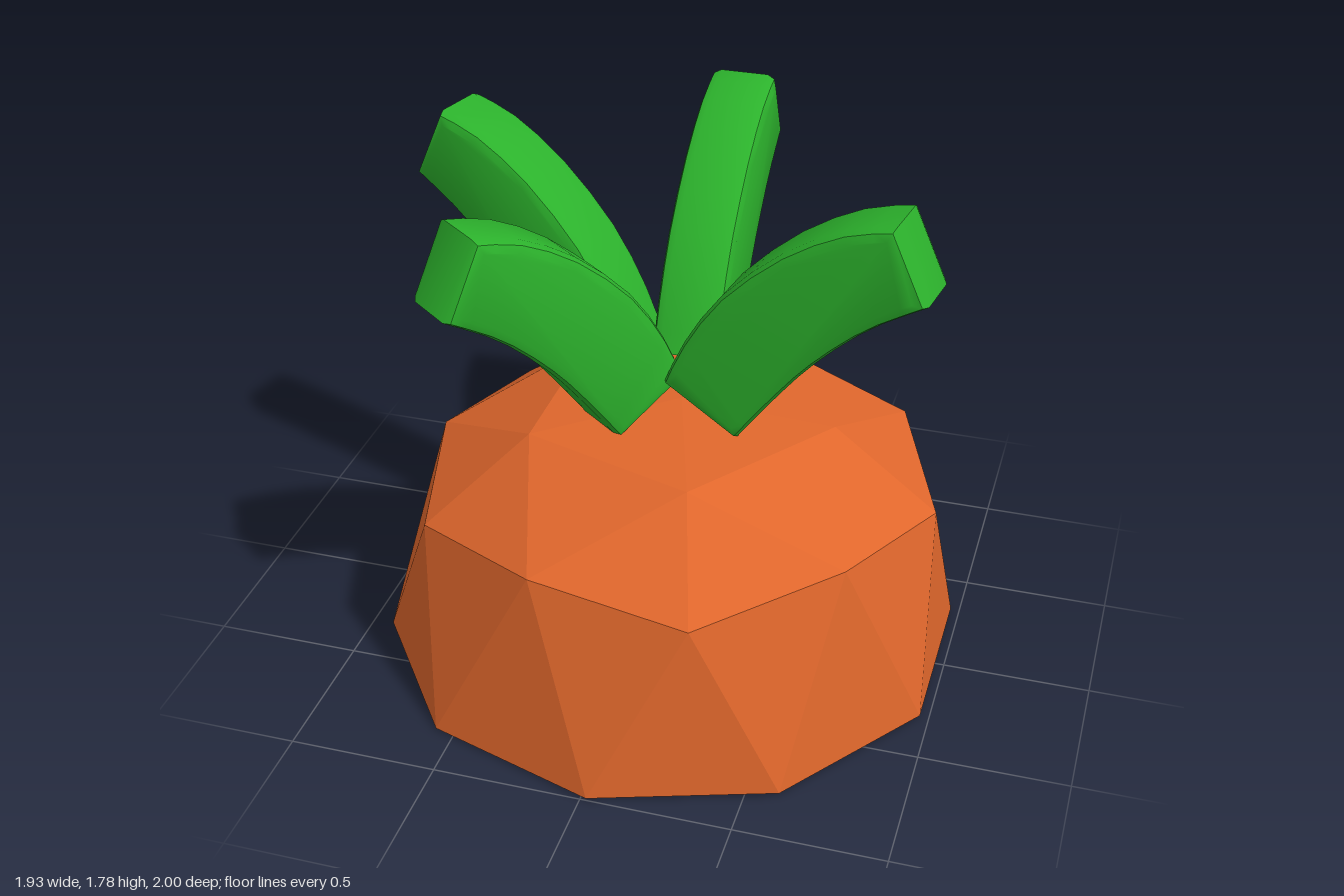
import * as THREE from 'three';
import { toCreasedNormals } from 'three/addons/utils/BufferGeometryUtils.js';

// Ring of points on the root; it leans slightly towards +x
function ring(count, startDeg, radius, height) {
  return Array.from({ length: count }, (_, i) => {
    const a = THREE.MathUtils.degToRad(startDeg + (i * 360) / count);
    const odd = i % 2;
    const r = Array.isArray(radius) ? radius[odd] : radius;
    const y = Array.isArray(height) ? height[odd] : height;
    const x = r * Math.cos(a);
    return [0.02 + 0.03 * y + x, y + 0.008 * (x + 0.95), r * Math.sin(a)];
  });
}

// Faceted dome, open underneath
function createRoot() {
  const pole = [0.05, 0.925, 0];
  const top = ring(5, 0, 0.53, 0.89);
  const shoulder = ring(10, 0, [0.892, 0.85], [0.612, 0.68]);
  const rim = ring(10, 18, 1, 0);
  const positions = [];
  const tri = (a, b, c) => positions.push(...a, ...c, ...b);

  for (let k = 0; k < 5; k++) {
    const next = top[(k + 1) % 5];
    const mid = shoulder[2 * k + 1];
    tri(pole, top[k], next);
    tri(top[k], shoulder[2 * k], mid);
    tri(top[k], mid, next);
    tri(next, mid, shoulder[(2 * k + 2) % 10]);
  }
  for (let j = 0; j < 10; j++) {
    const n = (j + 1) % 10;
    tri(shoulder[j], rim[j], shoulder[n]);
    tri(shoulder[n], rim[j], rim[n]);
  }

  const geometry = new THREE.BufferGeometry();
  geometry.setAttribute('position', new THREE.Float32BufferAttribute(positions, 3));
  geometry.computeVertexNormals();
  const material = new THREE.MeshStandardMaterial({
    color: 0xe0672c, flatShading: true, side: THREE.DoubleSide,
  });
  const mesh = new THREE.Mesh(geometry, material);
  mesh.name = 'root';
  return mesh;
}

// Arched stalk: side profile (outwards, up) extruded with rounded edges
function createStalkGeometry() {
  const v = (x, y) => new THREE.Vector2(x, y);
  const upper = new THREE.SplineCurve([
    v(0.05, 1.05), v(0.12, 1.21), v(0.25, 1.41), v(0.45, 1.6), v(0.65, 1.72), v(0.81, 1.765),
  ]);
  const lower = new THREE.SplineCurve([
    v(0.925, 1.52), v(0.74, 1.4), v(0.57, 1.24), v(0.44, 1.08), v(0.31, 0.9),
  ]);
  const shape = new THREE.Shape([...upper.getPoints(10), ...lower.getPoints(10)]);
  const width = 0.235;
  const bevel = 0.035;
  const geometry = new THREE.ExtrudeGeometry(shape, {
    depth: width - 2 * bevel,
    bevelEnabled: true,
    bevelSize: bevel,
    bevelThickness: bevel,
    bevelOffset: -bevel,
    bevelSegments: 2,
  });
  geometry.translate(0, 0, bevel - width / 2);
  return toCreasedNormals(geometry, 0.6);
}

export function createModel() {
  const model = new THREE.Group();
  model.name = 'carrotTop';
  model.add(createRoot());

  // Stalks: name, origin x, y, z and outward direction x, z
  const stalks = [
    ['backStalk', 0.04, 0, -0.01, 0, -1],
    ['leftStalk', -0.01, 0.01, 0.03, 0.988, 0.151],
    ['rightStalk', -0.05, -0.01, -0.1, -0.961, -0.276],
    ['frontStalk', 0.02, -0.01, -0.06, -0.62, 0.786],
  ];
  const geometry = createStalkGeometry();
  const material = new THREE.MeshStandardMaterial({ color: 0x2cb22c });
  for (const [name, x, y, z, dx, dz] of stalks) {
    const stalk = new THREE.Mesh(geometry, material);
    stalk.name = name;
    stalk.position.set(x, y, z);
    stalk.rotation.y = Math.atan2(-dz, dx);
    model.add(stalk);
  }
  return model;
}
